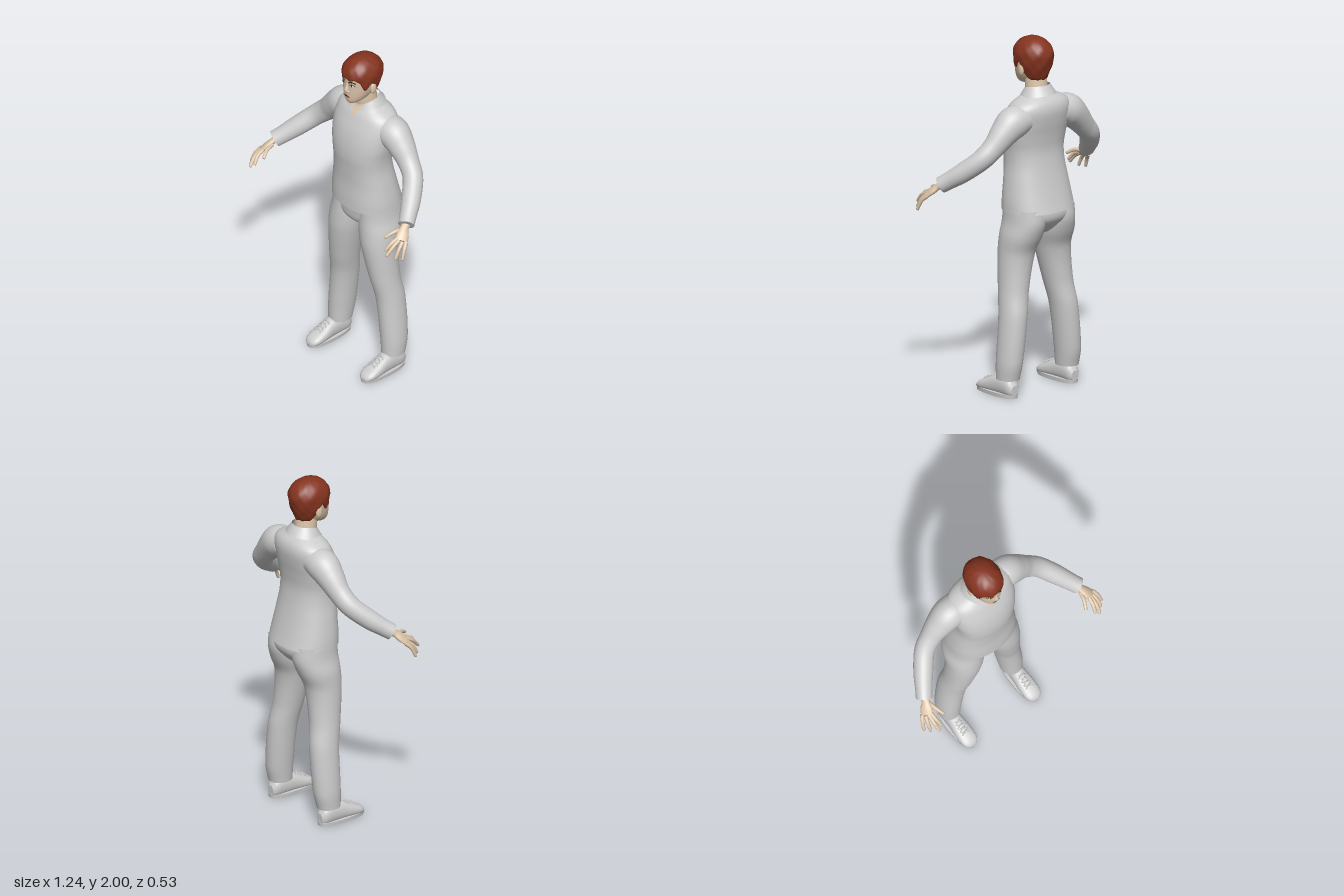
import * as THREE from 'three';

const V = (x, y, z) => new THREE.Vector3(x, y, z);
const mat = (name, color, side = THREE.FrontSide) => Object.assign(new THREE.MeshStandardMaterial({ color, side }), { name });

// Smooth lookup in rows of [key, ...values]
function at(rows, k) {
  const n = rows.length - 1;
  let i = 0;
  while (i < n - 1 && k > rows[i + 1][0]) i++;
  const a = rows[i], b = rows[i + 1], h = b[0] - a[0], t = THREE.MathUtils.clamp((k - a[0]) / h, 0, 1);
  const slope = (j, c) => {
    const p = rows[Math.max(j - 1, 0)], q = rows[Math.min(j + 1, n)];
    return (q[c] - p[c]) / (q[0] - p[0]);
  };
  const s = t * t * (3 - 2 * t);
  return a.map((v, c) => c === 0 ? k : v * (1 - s) + b[c] * s
    + h * slope(i, c) * t * (1 - t) ** 2 - h * slope(i + 1, c) * t * t * (1 - t));
}

// Surface through closed rings, with capped ends
function skinRings(rings) {
  const pos = [], idx = [], n = rings[0].length;
  const put = (p) => pos.push(p.x, p.y, p.z);
  rings.forEach((r) => r.forEach(put));
  for (let i = 0; i < rings.length - 1; i++) for (let j = 0; j < n; j++) {
    const a = i * n + j, b = i * n + (j + 1) % n;
    idx.push(a, a + n, b, b, a + n, b + n);
  }
  [rings[0], rings[rings.length - 1]].forEach((r, e) => {
    const base = pos.length / 3, mid = V(0, 0, 0);
    r.forEach((p) => { put(p); mid.addScaledVector(p, 1 / n); });
    put(mid);
    for (let j = 0; j < n; j++) {
      const a = base + j, b = base + (j + 1) % n;
      idx.push(base + n, ...(e ? [b, a] : [a, b]));
    }
  });
  const g = new THREE.BufferGeometry();
  g.setAttribute('position', new THREE.Float32BufferAttribute(pos, 3));
  g.setIndex(idx);
  g.computeVertexNormals();
  return g;
}

const sup = (v, p) => Math.sign(v) * Math.abs(v) ** (2 / p);

// Level slices: rows of [y, halfWidth, zFront, zBack, xCentre]
function stack(rows, steps, seg = 40, p = 2.3) {
  const y0 = rows[0][0], y1 = rows[rows.length - 1][0], rings = [];
  for (let i = 0; i <= steps; i++) {
    const [y, w, zf, zb, x = 0] = at(rows, y0 + (y1 - y0) * i / steps);
    rings.push(Array.from({ length: seg }, (_, j) => {
      const a = j / seg * Math.PI * 2;
      return V(x + w * sup(Math.cos(a), p), y, (zf + zb) / 2 + (zf - zb) / 2 * sup(Math.sin(a), p));
    }));
  }
  return skinRings(rings);
}

// Front surface depth of a stack at (x, y)
function frontZ(rows, x, y, p = 2.3) {
  const [, w, zf, zb] = at(rows, y);
  return (zf + zb) / 2 + (zf - zb) / 2 * Math.max(0, 1 - Math.abs(x / w) ** p) ** (1 / p);
}

// Limb along points [x, y, z, radiusAlongSide, otherRadius]
function limb(points, side, steps, seg, p = 2, axis = null) {
  const rows = points.map((q, i) => [i, ...q]), end = points.length - 1, rings = [];
  const centre = (k) => V(...at(rows, THREE.MathUtils.clamp(k, 0, end)).slice(1, 4));
  for (let i = 0; i <= steps; i++) {
    const k = end * i / steps, c = centre(k), r = at(rows, k);
    const t = axis || centre(k + 0.05).sub(centre(k - 0.05)).normalize();
    const u = side.clone().addScaledVector(t, -side.dot(t)).normalize(), v = u.clone().cross(t);
    rings.push(Array.from({ length: seg }, (_, j) => {
      const a = j / seg * Math.PI * 2;
      return c.clone().addScaledVector(u, r[4] * sup(Math.cos(a), p)).addScaledVector(v, r[5] * sup(Math.sin(a), p));
    }));
  }
  return skinRings(rings);
}

// Open sheet from f(u, v)
function sheet(f, nu, nv) {
  const g = new THREE.PlaneGeometry(1, 1, nu, nv), P = g.attributes.position;
  for (let i = 0; i < P.count; i++) P.setXYZ(i, ...f(P.getX(i) + 0.5, P.getY(i) + 0.5));
  g.computeVertexNormals();
  return g;
}

function ball(x, y, z, rx, ry, rz) {
  return new THREE.SphereGeometry(1, 20, 14).scale(rx, ry, rz).translate(x, y, z);
}

export function createModel() {
  const model = new THREE.Group();
  const cloth = mat('grey clothing', 0xcccccc), collarCloth = mat('grey collar', 0xcccccc, THREE.DoubleSide);
  const skin = mat('skin', 0xdcc5aa, THREE.DoubleSide), hairMat = mat('red brown hair', 0x85341f);
  const white = mat('eye white', 0xe4e0d8), dark = mat('dark eye', 0x2c221c), lipMat = mat('lips', 0xb98f7c);
  const add = (name, geo, m) => {
    const mesh = new THREE.Mesh(geo, m);
    mesh.name = name;
    model.add(mesh);
  };
  const pair = (name, geo, m) => {
    add('left ' + name, geo, m);
    const g = geo.clone().scale(-1, 1, 1), I = g.index.array;
    for (let i = 0; i < I.length; i += 3) [I[i], I[i + 1]] = [I[i + 1], I[i]];
    add('right ' + name, g, m);
  };

  // Shirt
  const torso = [[1.04, .207, .066, -.262], [1.1, .203, .065, -.245], [1.2, .19, .061, -.22], [1.3, .177, .065, -.2],
    [1.38, .179, .07, -.192], [1.46, .192, .064, -.2], [1.54, .2, .045, -.214], [1.6, .198, .02, -.22],
    [1.64, .18, 0, -.212], [1.665, .14, -.018, -.195], [1.685, .095, -.03, -.172], [1.71, .068, -.036, -.155]];
  add('shirt body', stack(torso, 60, 56), cloth);
  pair('sleeve', limb([[.13, 1.57, -.115, .08, .085], [.2, 1.553, -.115, .092, .088], [.262, 1.505, -.112, .078, .076],
    [.325, 1.44, -.104, .064, .06], [.392, 1.375, -.078, .058, .056], [.458, 1.302, -.005, .055, .054],
    [.505, 1.25, .06, .049, .047], [.532, 1.222, .098, .047, .045]], V(.6, .8, 0), 42, 28), cloth);
  add('placket', sheet((u, v) => {
    const y = 1.045 + .565 * v, x = (u - .5) * .016;
    return [x, y, frontZ(torso, x, y) + .002];
  }, 2, 30), collarCloth);
  pair('collar', sheet((u, v) => {
    const a = u * 2.75 * (v + (1 - v) * .9), r = .072 + (1 - v) * .036;
    const y = v * (1.738 - .045 * u ** 3) + (1 - v) * (1.69 - .048 * u * u);
    return [r * Math.sin(a), y, -.092 - (r - .004) * Math.cos(a)];
  }, 24, 5), collarCloth);

  // Neck and open throat
  add('neck', stack([[1.64, .066, -.03, -.15], [1.7, .064, -.026, -.15], [1.78, .06, -.02, -.14]], 8, 32, 2), skin);
  add('throat', sheet((u, v) => {
    const y = 1.61 + .085 * v, x = (u - .5) * .07 * v;
    return [x, y, frontZ(torso, x, y) + .004];
  }, 8, 8), skin);

  // Trousers
  add('trouser seat', stack([[.905, .05, -.01, -.16], [.94, .14, .025, -.2], [1, .2, .035, -.243], [1.08, .2, .04, -.24]], 14, 44), cloth);
  pair('trouser leg', stack([[.1, .061, -.026, -.162, .215], [.2, .068, -.024, -.182, .211], [.45, .073, -.016, -.186, .184],
    [.6, .08, .01, -.167, .16], [.8, .098, .036, -.174, .13], [.9, .109, .036, -.216, .116],
    [.98, .103, .032, -.24, .106], [1.06, .1, .03, -.235, .103]], 48, 32, 2.1), cloth);

  // Shoes
  pair('shoe sole', stack([[0, .053, .134, -.16, .219], [.022, .055, .137, -.162, .219]], 2, 36, 2.5), cloth);
  pair('shoe upper', limb([[.219, .042, -.158, .025, .03], [.219, .055, -.13, .042, .052], [.219, .06, -.06, .044, .058],
    [.219, .056, -.01, .046, .053], [.219, .045, .04, .05, .041], [.219, .034, .09, .049, .029],
    [.219, .026, .118, .038, .02], [.219, .02, .132, .02, .01]], V(1, 0, 0), 28, 28, 2.3, V(0, 0, 1)), cloth);
  for (let i = 0; i < 4; i++) {
    const z = -.012 + i * .021, y = .11 - i * .0085;
    for (const s of [-1, 1]) pair('shoe lace', new THREE.TubeGeometry(new THREE.QuadraticBezierCurve3(
      V(.219 - .024 * s, y - .012, z), V(.219, y + .012, z + .009), V(.219 + .024 * s, y - .012, z + .018)), 8, .003, 6), cloth);
  }

  // Hands
  pair('palm', limb([[.524, 1.228, .085, .025, .02], [.535, 1.21, .115, .024, .017], [.551, 1.186, .142, .034, .017],
    [.566, 1.164, .166, .034, .013]], V(-.05, .025, .035), 14, 20), skin);
  const fingers = {
    index: [[.545, 1.174, .178], [.53, 1.12, .25]], middle: [[.558, 1.168, .174], [.553, 1.1, .263]],
    ring: [[.574, 1.161, .164], [.587, 1.08, .228]], little: [[.586, 1.159, .148], [.613, 1.075, .2]],
    thumb: [[.523, 1.2, .125], [.49, 1.17, .22]],
  };
  for (const [name, [a, b]] of Object.entries(fingers)) {
    const m = [.004, .01, .004].map((d, i) => (a[i] + b[i]) / 2 + d);
    const nearTip = b.map((v, i) => v * .93 + m[i] * .07);
    pair(name + ' finger', limb([[...a, .012, .012], [...m, .0105, .0105], [...nearTip, .0085, .0085], [...b, .003, .003]],
      V(-.8, .4, .5), 12, 12), skin);
  }

  // Head
  const head = [[1.727, .018, .034, -.01], [1.738, .036, .044, -.045], [1.762, .058, .05, -.1], [1.8, .075, .051, -.135],
    [1.85, .086, .05, -.155], [1.9, .088, .051, -.16], [1.95, .076, .038, -.145], [1.985, .035, -.01, -.1]];
  add('head', stack(head, 40, 44), skin);
  pair('ear', ball(.09, 1.825, -.062, .011, .033, .02), skin);
  add('nose', limb([[0, 1.872, .044, .008, .008], [0, 1.845, .05, .009, .01], [0, 1.822, .056, .014, .012],
    [0, 1.81, .052, .009, .007]], V(1, 0, 0), 14, 16), skin);
  pair('nostril', ball(.011, 1.817, .05, .008, .007, .01), skin);
  const onFace = (x, y, d) => V(x, y, frontZ(head, x, y) + d);
  const eye = onFace(.034, 1.861, 0);
  pair('eye white', ball(eye.x, eye.y, eye.z, .0145, .0065, .004), white);
  pair('iris', ball(eye.x, eye.y, eye.z + .003, .006, .006, .003), dark);
  const line = (pts, r) => new THREE.TubeGeometry(new THREE.CatmullRomCurve3(pts.map(([x, y]) => onFace(x, y, .001))), 12, r, 6);
  pair('upper eyelid', line([[.018, 1.86], [.034, 1.869], [.051, 1.861]], .0022), dark);
  pair('eyebrow', line([[.014, 1.877], [.034, 1.886], [.056, 1.88]], .0036), dark);
  add('upper lip', line([[-.023, 1.783], [-.006, 1.79], [.006, 1.79], [.023, 1.783]], .004), lipMat);
  add('lower lip', line([[-.02, 1.781], [0, 1.776], [.02, 1.781]], .005), lipMat);
  add('mouth line', line([[-.022, 1.783], [0, 1.7845], [.022, 1.783]], .0052).scale(1, .25, 1).translate(0, 1.3375, .002), dark);

  // Hair: cap whose lower edge follows the hairline
  const edge = [[-1, 1.77], [-.5, 1.775], [-.25, 1.8], [0, 1.86], [.2, 1.865], [.35, 1.83], [.55, 1.85], [.75, 1.898], [1, 1.896]];
  const lower = [[1.76, .064, .054, -.142], [1.8, .08, .056, -.158], [1.85, .096, .058, -.174], [1.9, .1, .059, -.184]];
  const rings = [];
  for (let j = -1; j <= 22; j++) rings.push(Array.from({ length: 72 }, (_, i) => {
    const a = i / 72 * Math.PI * 2, f = Math.sin(a);
    const b = at(edge, f)[1] + .005 * Math.sin(a * 13) * (f > .6 ? 1 : .4);
    const t = Math.max(j, 0) / 22, y = b + (2 - b) * Math.sin(t * Math.PI / 2);
    const [, w, zf, zb] = at(lower, Math.min(y, 1.9));
    const dome = y > 1.9 ? Math.sqrt(Math.max(0, 1 - ((y - 1.9) / .1) ** 2)) : 1;
    const s = dome * (j < 0 ? .86 : 1 + .012 * Math.sin(a * 7 + y * 60) + .01 * Math.sin(a * 11 - y * 85));
    return V(w * s * sup(Math.cos(a), 2.15), y, (zf + zb) / 2 + (zf - zb) / 2 * s * sup(f, 2.15));
  }));
  add('hair', skinRings(rings), hairMat);

  return model;
}
